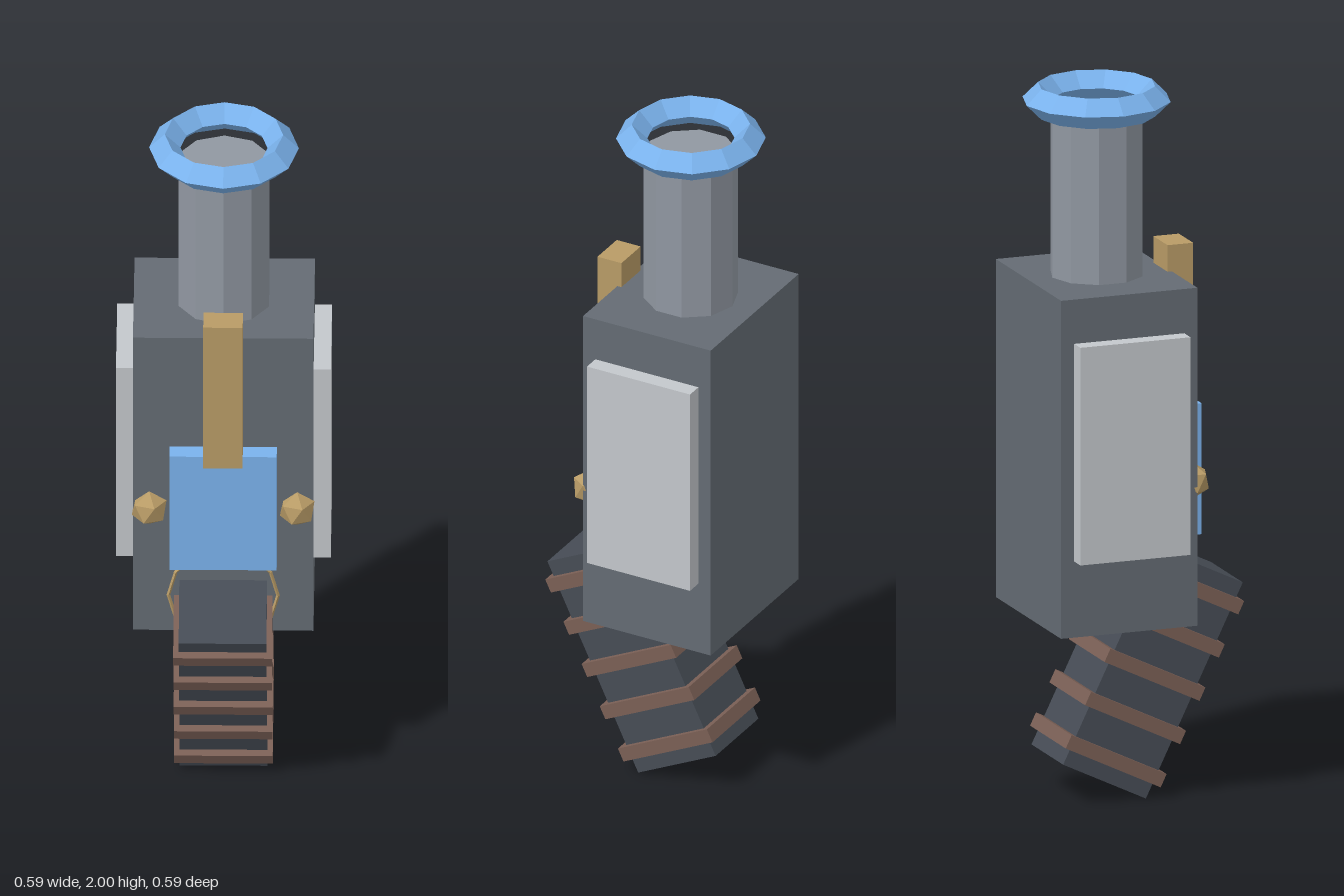
import * as THREE from 'three';

const mat = (color) => new THREE.MeshStandardMaterial({ color, flatShading: true });

export function createModel() {
  const model = new THREE.Group();
  const dark = mat(0x646b73), steel = mat(0x9097a1), pale = mat(0xc3c7cb);
  const blue = mat(0x7ab2ec), brass = mat(0xb89b66);
  const gripDark = mat(0x464c55), leather = mat(0x7a5f55);

  const add = (parent, name, geometry, material, x, y, z) => {
    const mesh = new THREE.Mesh(geometry, material);
    mesh.name = name;
    mesh.position.set(x, y, z);
    parent.add(mesh);
    return mesh;
  };
  const box = (w, h, d) => new THREE.BoxGeometry(w, h, d);

  // Main housing
  add(model, 'body', box(0.494, 0.955, 0.40), dark, 0, 0.9875, -0.09);

  // Barrel with a faceted muzzle ring
  add(model, 'barrel', new THREE.CylinderGeometry(0.13, 0.13, 0.46, 10), steel, 0, 1.682, -0.09);
  const ring = new THREE.TorusGeometry(0.162, 0.043, 4, 12).rotateX(Math.PI / 2);
  add(model, 'muzzleRing', ring, blue, 0, 1.957, -0.09);

  // Front plate and sight bar
  add(model, 'frontPlate', box(0.294, 0.37, 0.08), blue, 0, 0.925, 0.121);
  add(model, 'sightBar', box(0.108, 0.46, 0.075), brass, 0, 1.31, 0.135);

  // Guard ring, sunk into the front of the body around the grip
  add(model, 'guardRing', new THREE.TorusGeometry(0.15, 0.015, 4, 12), brass, 0, 0.625, 0.10);

  // Side plates and studs
  const stud = new THREE.IcosahedronGeometry(0.053, 0)
    .rotateX(-Math.atan((1 + Math.sqrt(5)) / 2)) // stand it on a corner
    .rotateY(Math.PI / 2);
  for (const [side, label] of [[1, 'left'], [-1, 'right']]) {
    add(model, label + 'SidePlate', box(0.08, 0.615, 0.323), pale, side * 0.254, 1.0325, -0.09);
    add(model, label + 'Stud', stud, brass, side * 0.2025, 0.91, 0.11);
  }

  // Slanted grip with wrapped bands
  const grip = new THREE.Group();
  grip.name = 'grip';
  grip.position.set(0, 0.352, 0.029);
  grip.rotation.x = 0.453;
  add(grip, 'gripCore', box(0.24, 0.65, 0.27), gripDark, 0, 0, 0);
  for (let i = -2; i <= 2; i++) {
    add(grip, 'gripBand', box(0.27, 0.04, 0.31), leather, 0, i * 0.13, 0);
  }
  model.add(grip);

  return model;
}
